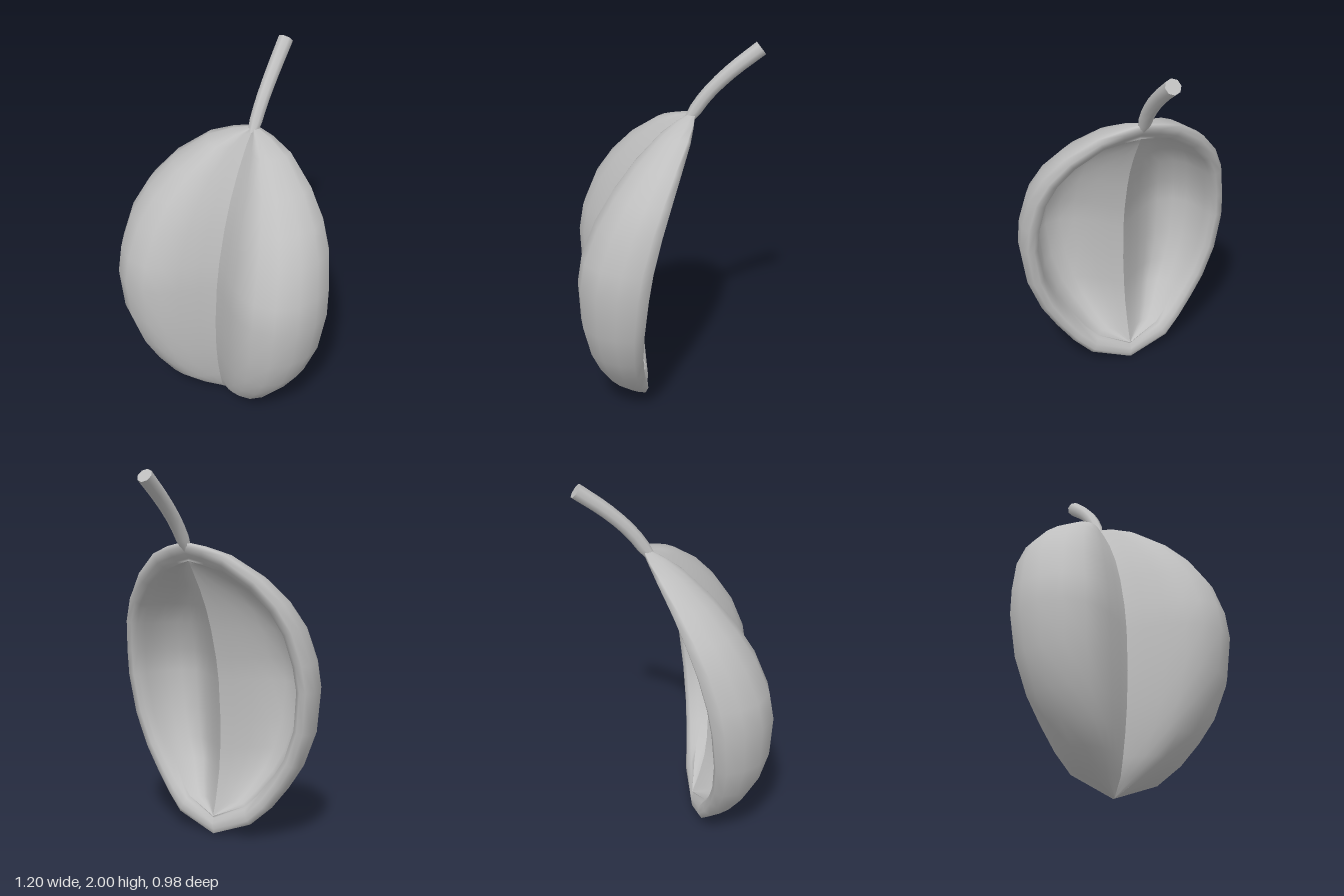
import * as THREE from 'three';

// Rings from the lower tip to the stem: y, half width, rim z, foremost z, crease z
const RINGS = [
  [0.002, 0, 0.125, 0.145, 0.14], [0.09, 0.233, 0.122, 0.25, 0.21], [0.18, 0.33, 0.14, 0.335, 0.235],
  [0.3, 0.42, 0.155, 0.395, 0.26], [0.43, 0.5, 0.163, 0.44, 0.277], [0.62, 0.57, 0.158, 0.478, 0.285],
  [0.85, 0.6, 0.135, 0.487, 0.27], [1.0, 0.59, 0.11, 0.462, 0.243], [1.18, 0.555, 0.063, 0.39, 0.188],
  [1.32, 0.49, 0.013, 0.3, 0.128], [1.45, 0.385, -0.043, 0.19, 0.05], [1.567, 0.23, -0.105, 0.055, -0.04],
  [1.61, 0.11, -0.133, -0.03, -0.09], [1.635, 0, -0.14, -0.11, -0.12],
];
// Outer cross-section: fraction of the width, fraction of the depth
const OUTER = [[0, 0.38], [0.12, 0.56], [0.26, 0.77], [0.4, 0.93], [0.54, 1], [0.73, 0.96], [0.89, 0.74], [0.975, 0.45], [1, 0.16]];
// Rolled lip: distance inward from the outline, height above the rim
const LIP = [[0.025, 0], [0.06, -0.003], [0.087, 0.015]];
const LIP_WIDTH = 0.1;
// Inner cross-section: fraction of the inner width, distance behind the outer face
const INNER = [[1, 0.23], [0.97, 0.17], [0.9, 0.115], [0.78, 0.075], [0.6, 0.058], [0.45, 0.055], [0.28, 0.058], [0.12, 0.064], [0, 0.07]];

// Linear interpolation of one column against the first, in a table sorted by the first
function lookup(table, key, col) {
  let i = 1;
  while (i < table.length - 1 && table[i][0] < key) i++;
  const a = table[i - 1], b = table[i];
  return THREE.MathUtils.lerp(a[col], b[col], THREE.MathUtils.clamp((key - a[0]) / (b[0] - a[0]), 0, 1));
}

// z of the outer face at height y and fraction u of the width
function outerZ(u, y) {
  const rim = lookup(RINGS, y, 2), depth = lookup(RINGS, y, 3) - rim;
  const creaseShift = lookup(RINGS, y, 4) - rim - OUTER[0][1] * depth;
  return rim + lookup(OUTER, u, 1) * depth + Math.max(0, 1 - u / 0.54) * creaseShift;
}

// Closed section of one lobe, running from the front crease round the lip to the back crease
function section(i) {
  const [y, w] = RINGS[i];
  const last = RINGS.length - 1;
  let nx = 0, ny = i === 0 ? 1 : -1;
  if (i > 0 && i < last) {
    const dx = RINGS[i + 1][1] - RINGS[i - 1][1], dy = RINGS[i + 1][0] - RINGS[i - 1][0];
    const len = Math.hypot(dx, dy);
    nx = -dy / len;
    ny = dx / len;
  }
  const inward = (d) => [Math.max(0, w + nx * d), y + ny * d];
  const pts = OUTER.map(([u]) => [u * w, y, outerZ(u, y)]);
  for (const [d, up] of LIP) {
    const [x, ly] = inward(d);
    pts.push([x, ly, lookup(RINGS, ly, 2) + up]);
  }
  // The hollow grows shallow towards both tips
  const [ix, iy] = inward(LIP_WIDTH);
  const rim = lookup(RINGS, iy, 2), width = lookup(RINGS, iy, 1);
  const hollow = Math.min(1, 0.15 + ix / 0.4);
  for (const [u, drop] of INNER) {
    const d = outerZ((u * ix) / width, iy) - rim;
    pts.push([u * ix, iy, rim + hollow * Math.max(0.25 * d, d - drop)]);
  }
  return pts;
}

function lobeGeometry(side) {
  const pos = [], index = [];
  const n = OUTER.length + LIP.length + INNER.length;
  RINGS.forEach((_, i) => {
    // The whole leaf leans slightly to its left going up
    for (const [x, y, z] of section(i)) pos.push(side * x + 0.014 * (y - 0.85), y, z);
    if (i === 0) return;
    for (let j = 0; j < n - 1; j++) {
      const a = (i - 1) * n + j, b = a + 1, d = a + n, c = d + 1;
      if (side > 0) index.push(a, b, c, a, c, d);
      else index.push(a, c, b, a, d, c);
    }
  });
  const geo = new THREE.BufferGeometry();
  geo.setAttribute('position', new THREE.Float32BufferAttribute(pos, 3));
  geo.setIndex(index);
  geo.computeVertexNormals();
  return geo;
}

export function createModel() {
  const group = new THREE.Group();
  const grey = new THREE.MeshStandardMaterial({ color: 0xbfbfbf });
  grey.name = 'grey';
  const add = (name, geo) => {
    const mesh = new THREE.Mesh(geo, grey);
    mesh.name = name;
    group.add(mesh);
  };

  // Two mirrored lobes meeting at a sharp crease
  add('leftLobe', lobeGeometry(1));
  add('rightLobe', lobeGeometry(-1));

  // Curved stem, thicker towards its free end
  const path = new THREE.CatmullRomCurve3([
    new THREE.Vector3(0.01, 1.6, -0.1), new THREE.Vector3(0.012, 1.735, -0.195),
    new THREE.Vector3(0.012, 1.853, -0.315), new THREE.Vector3(0.008, 1.967, -0.463),
  ]);
  const segs = 8, sides = 8;
  const radius = (t) => (t === 0 ? 0.025 : 0.034 + 0.007 * t);
  const tube = new THREE.TubeGeometry(path, segs, 1, sides);
  const p = tube.attributes.position, v = new THREE.Vector3();
  for (let k = 0; k < p.count; k++) {
    const t = Math.floor(k / (sides + 1)) / segs, c = path.getPointAt(t);
    v.fromBufferAttribute(p, k).sub(c).multiplyScalar(radius(t)).add(c);
    p.setXYZ(k, v.x, v.y, v.z);
  }
  add('stem', tube);

  // Flat end of the stem, sharing the last ring of the tube
  const end = path.getPointAt(1), ring = [end.x, end.y, end.z], fan = [];
  for (let k = 0; k < sides; k++) {
    v.fromBufferAttribute(p, segs * (sides + 1) + k);
    ring.push(v.x, v.y, v.z);
    fan.push(0, 1 + k, 1 + ((k + 1) % sides));
  }
  const cap = new THREE.BufferGeometry();
  cap.setAttribute('position', new THREE.Float32BufferAttribute(ring, 3));
  cap.setIndex(fan);
  cap.computeVertexNormals();
  // Turn the fan round if it faces back down the stem
  if (v.fromBufferAttribute(cap.attributes.normal, 0).dot(path.getTangentAt(1)) < 0) {
    cap.setIndex(fan.reverse());
    cap.computeVertexNormals();
  }
  add('stemEnd', cap);

  return group;
}
